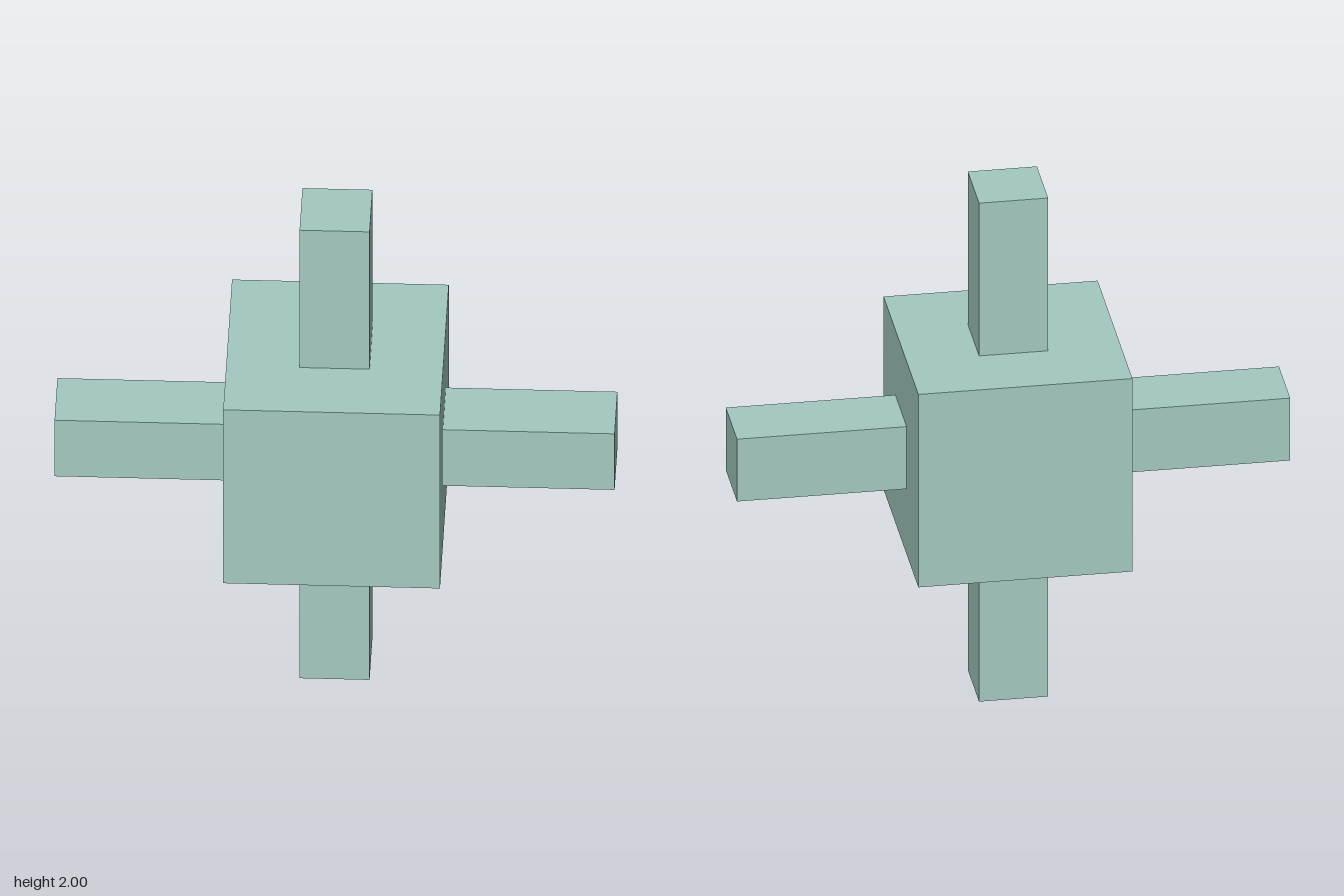
import * as THREE from 'three';

export function createModel() {
  const model = new THREE.Group();
  const paleTeal = new THREE.MeshStandardMaterial({ color: 0xa3c9c0 });
  paleTeal.name = 'paleTeal';

  const centre = 1, half = 0.387, armWidth = 0.25;
  const armLength = 1 - half;

  // Central cube
  const core = new THREE.Mesh(new THREE.BoxGeometry(half * 2, half * 2, half * 2), paleTeal);
  core.name = 'coreCube';
  core.position.y = centre;
  model.add(core);

  // Four square arms, one on each side, top and bottom
  const arms = { topArm: [0, 1], bottomArm: [0, -1], leftArm: [1, 0], rightArm: [-1, 0] };
  for (const [name, [dx, dy]] of Object.entries(arms)) {
    const geometry = new THREE.BoxGeometry(
      dx ? armLength : armWidth, dy ? armLength : armWidth, armWidth);
    const arm = new THREE.Mesh(geometry, paleTeal);
    arm.name = name;
    const offset = half + armLength / 2;
    arm.position.set(dx * offset, centre + dy * offset, 0);
    model.add(arm);
  }

  return model;
}
